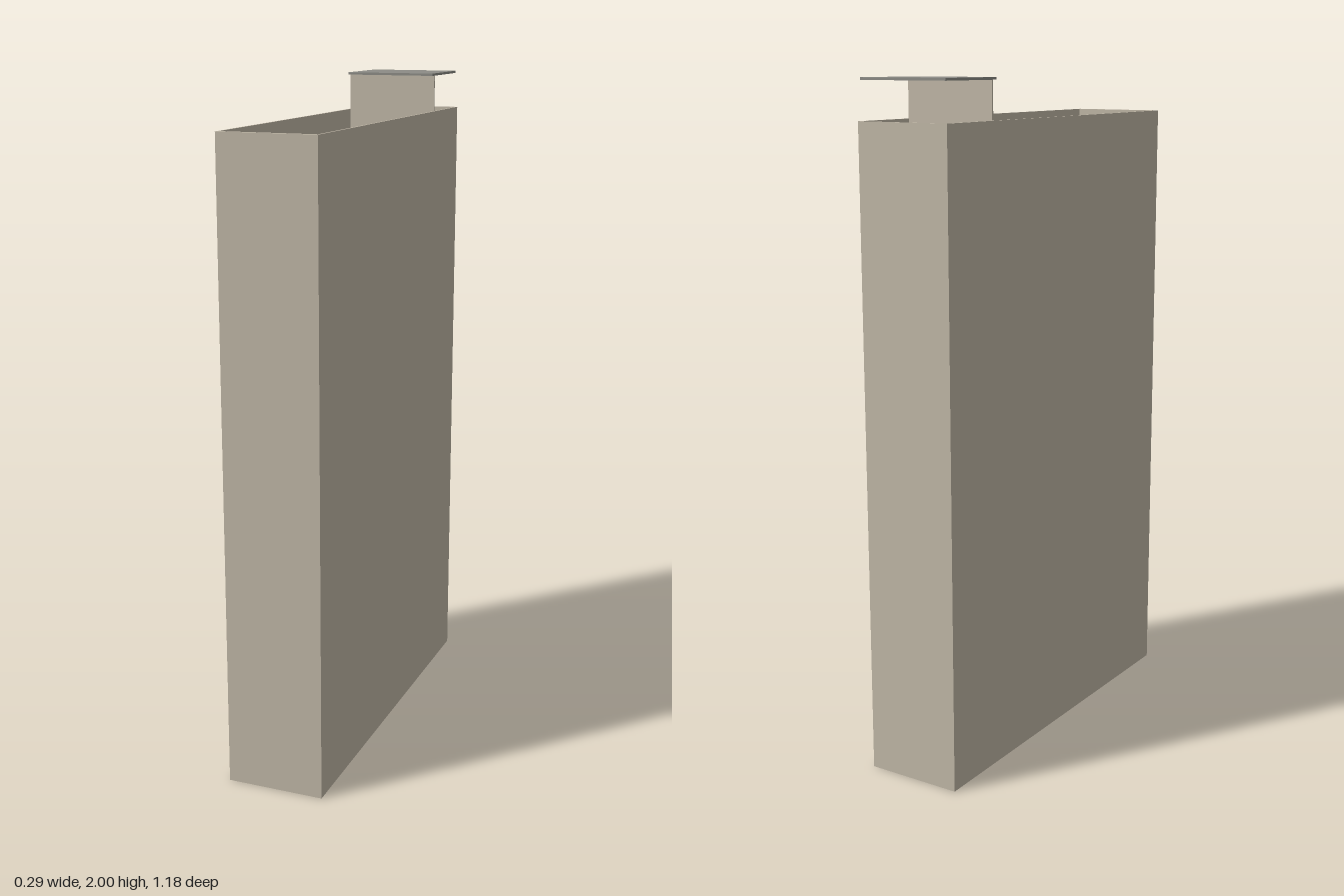
import * as THREE from 'three';

export function createModel() {
  const model = new THREE.Group();
  const tan = new THREE.MeshStandardMaterial({ color: 0xc2b9a8 });
  tan.name = 'tan card';
  const grey = new THREE.MeshStandardMaterial({ color: 0x8d8c86 });
  grey.name = 'grey panel';

  const W = 0.146, D = 0.59, H = 1.885; // half width, half depth and height of the sleeve
  const inX = 0.14, inBack = -0.584, inFront = 0.577; // inner faces of the walls

  // Hollow sleeve, open at top and bottom (shape y becomes -z)
  const outline = new THREE.Shape([
    new THREE.Vector2(-W, -D), new THREE.Vector2(W, -D),
    new THREE.Vector2(W, D), new THREE.Vector2(-W, D),
  ]);
  outline.holes.push(new THREE.Path([
    new THREE.Vector2(-inX, -inFront), new THREE.Vector2(-inX, -inBack),
    new THREE.Vector2(inX, -inBack), new THREE.Vector2(inX, -inFront),
  ]));
  const sleeveGeometry = new THREE.ExtrudeGeometry(outline, { depth: H, bevelEnabled: false });
  sleeveGeometry.rotateX(-Math.PI / 2);
  const sleeve = new THREE.Mesh(sleeveGeometry, tan);
  sleeve.name = 'sleeve';
  model.add(sleeve);

  // Box given by its lower and upper corners
  function slab(name, material, x0, y0, z0, x1, y1, z1) {
    const mesh = new THREE.Mesh(new THREE.BoxGeometry(x1 - x0, y1 - y0, z1 - z0), material);
    mesh.position.set((x0 + x1) / 2, (y0 + y1) / 2, (z0 + z1) / 2);
    mesh.name = name;
    model.add(mesh);
  }

  // Recessed deck, upright riser and raised cap at the back
  slab('deck', grey, -inX, 1.789, inBack, inX, 1.795, inFront);
  slab('riser', tan, -inX, 1.795, -0.371, inX, 1.993, -0.365);
  slab('cap', grey, -inX, 1.993, -0.585, inX, 2, -0.348);

  return model;
}
